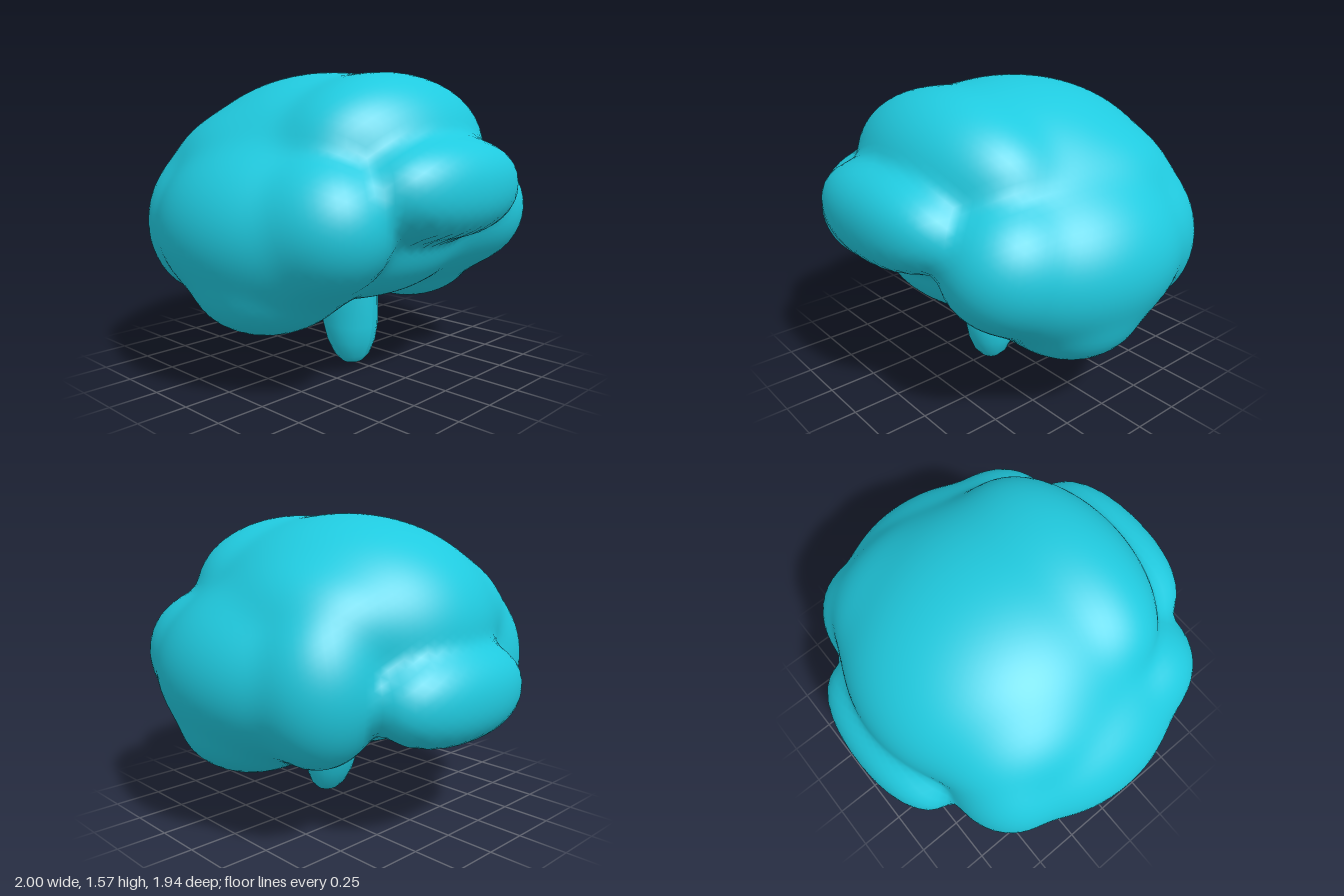
import * as THREE from 'three';
import { mergeVertices } from 'three/addons/utils/BufferGeometryUtils.js';

// Lobes: centre, radii, roundness exponent; those off the middle plane are mirrored
const LOBES = [
  { c: [0, 1.0, -0.03], r: [0.75, 0.565, 0.8] },               // upper dome
  { c: [0, 1.19, 0.37], r: [0.61, 0.355, 0.37] },              // forehead
  { c: [0.4, 1.05, -0.2], r: [0.37, 0.31, 0.46] },             // shoulders
  { c: [0.5, 0.79, 0.03], r: [0.5, 0.44, 0.64] },              // sides
  { c: [0.55, 0.85, 0.455], r: [0.31, 0.31, 0.33] },           // front corners
  { c: [0.54, 0.54, 0.08], r: [0.37, 0.255, 0.34], p: 2.1 },   // lower sides
  { c: [0.55, 0.79, -0.42], r: [0.31, 0.38, 0.28] },           // back corners
  { c: [0, 1.0, 0.72], r: [0.49, 0.24, 0.25], p: 2.2 },        // front bulge
  { c: [0, 0.72, -0.73], r: [0.48, 0.24, 0.24], p: 2.2 },      // back bulge
  { c: [0, 0.68, 0], r: [0.6, 0.31, 0.64] },                   // base
].flatMap(l => l.c[0] ? [l, { ...l, c: [-l.c[0], l.c[1], l.c[2]] }] : [l]);

const SHARPNESS = 14;

// Soft union of all lobes: above 1 inside, below 1 outside
function field(v) {
  let sum = 0;
  for (const { c, r, p = 2 } of LOBES) {
    const q = Math.abs((v.x - c[0]) / r[0]) ** p
      + Math.abs((v.y - c[1]) / r[1]) ** p
      + Math.abs((v.z - c[2]) / r[2]) ** p;
    sum += Math.exp(SHARPNESS * (1 - q ** (1 / p)));
  }
  return sum;
}

// Sphere whose vertices are pulled onto the soft union
function lobedBody() {
  let geo = new THREE.IcosahedronGeometry(1, 24);
  geo.deleteAttribute('uv');
  geo.deleteAttribute('normal');
  geo = mergeVertices(geo, 1e-4);
  const pos = geo.attributes.position;
  const centre = new THREE.Vector3(0, 0.7, 0);
  const dir = new THREE.Vector3();
  const v = new THREE.Vector3();
  const at = t => v.copy(centre).addScaledVector(dir, t);
  for (let i = 0; i < pos.count; i++) {
    dir.fromBufferAttribute(pos, i).normalize();
    let hi = 1.5;
    while (hi > 0.1 && field(at(hi - 0.03)) < 1) hi -= 0.03;
    let lo = hi - 0.03;
    for (let n = 0; n < 12; n++) {
      const mid = (lo + hi) / 2;
      if (field(at(mid)) > 1) lo = mid; else hi = mid;
    }
    at(lo);
    pos.setXYZ(i, v.x, v.y, v.z);
  }
  geo.computeVertexNormals();
  return geo;
}

// Tapered stem, widening front to back as it rises
function stemGeometry() {
  const profile = [[0, 0], [0.06, 0.01], [0.1, 0.05], [0.13, 0.13], [0.14, 0.22], [0.135, 0.35], [0.13, 0.6]]
    .map(([x, y]) => new THREE.Vector2(x, y));
  const geo = new THREE.LatheGeometry(profile, 20);
  const pos = geo.attributes.position;
  for (let i = 0; i < pos.count; i++) {
    const y = pos.getY(i);
    pos.setZ(i, pos.getZ(i) * (0.85 + 1.35 * y) + 0.13 - 0.1 * y);
  }
  geo.computeVertexNormals();
  return geo;
}

export function createModel() {
  const group = new THREE.Group();
  group.name = 'brain';
  const cyan = new THREE.MeshStandardMaterial({ color: 0x20cadf });
  cyan.name = 'cyan';

  const body = new THREE.Mesh(lobedBody(), cyan);
  body.name = 'lobes';
  const stem = new THREE.Mesh(stemGeometry(), cyan);
  stem.name = 'stem';
  group.add(body, stem);
  return group;
}
